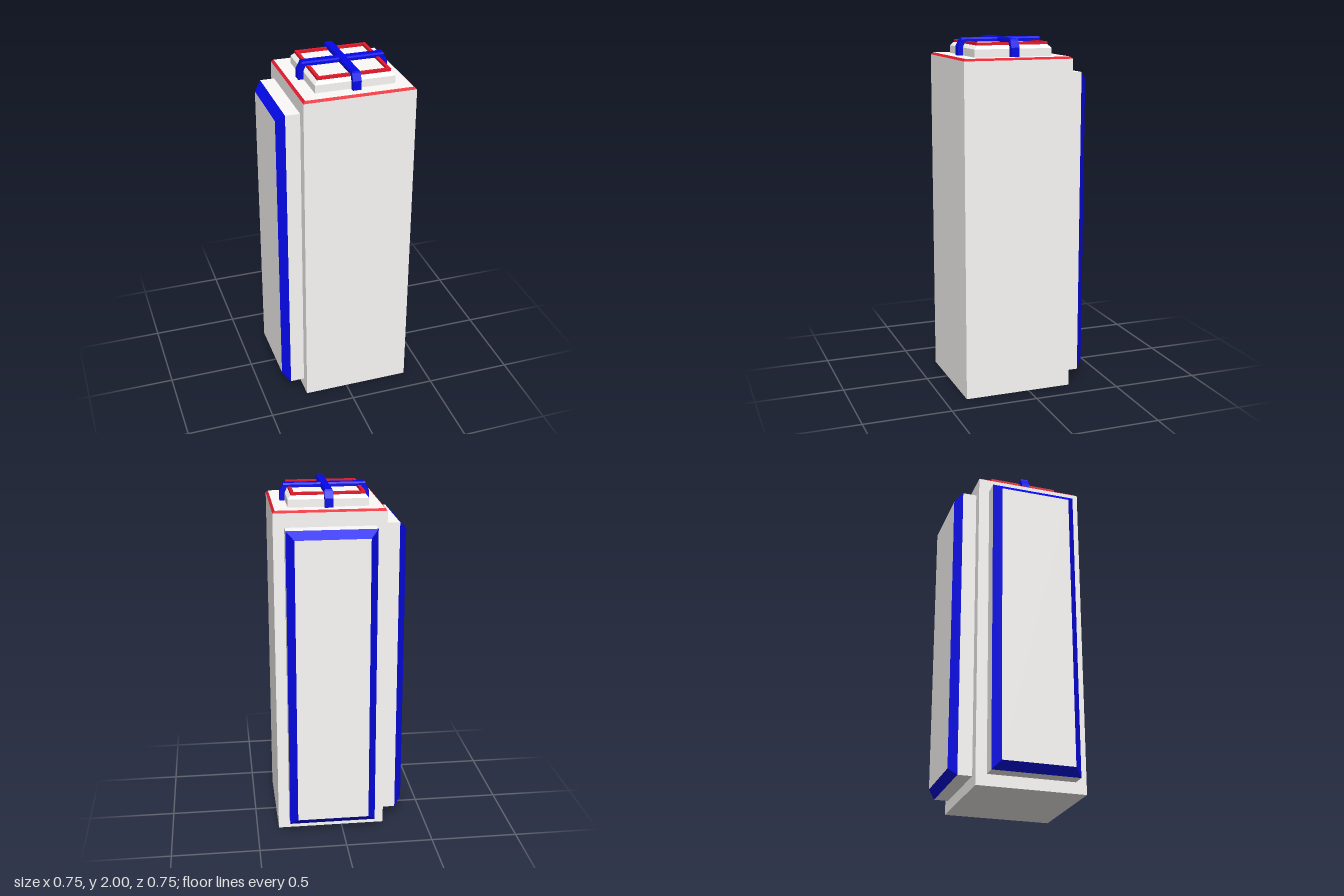
import * as THREE from 'three';

const white = new THREE.MeshStandardMaterial({ color: 0xfdfbf9, flatShading: true });
const blue = new THREE.MeshStandardMaterial({ color: 0x0508ea, flatShading: true });
const red = new THREE.MeshStandardMaterial({ color: 0xe61a2c, flatShading: true });

// Block from y0 to y1 whose top shrinks by inset on every side; the walls have their own colour.
function block(name, w, d, y0, y1, inset = 0, walls = white) {
  const geo = new THREE.BoxGeometry(w, y1 - y0, d);
  const p = geo.attributes.position;
  for (let i = 0; i < p.count; i++) {
    if (p.getY(i) > 0) {
      p.setX(i, p.getX(i) - Math.sign(p.getX(i)) * inset);
      p.setZ(i, p.getZ(i) - Math.sign(p.getZ(i)) * inset);
    }
  }
  geo.computeVertexNormals();
  const mesh = new THREE.Mesh(geo, [walls, walls, white, white, walls, walls]);
  mesh.name = name;
  mesh.position.y = (y0 + y1) / 2;
  return mesh;
}

// Square frame lying flat, standing on y0
function frame(name, outer, inner, y0, height) {
  const square = (Type, r) => new Type([[-r, -r], [r, -r], [r, r], [-r, r]].map(([x, y]) => new THREE.Vector2(x, y)));
  const shape = square(THREE.Shape, outer);
  shape.holes.push(square(THREE.Path, inner));
  const geo = new THREE.ExtrudeGeometry(shape, { depth: height, bevelEnabled: false });
  geo.rotateX(-Math.PI / 2);
  const mesh = new THREE.Mesh(geo, red);
  mesh.name = name;
  mesh.position.y = y0;
  return mesh;
}

// Bridge-shaped strap with clipped shoulders, slightly narrower along its top
function strap(name) {
  const half = [[0.2525, 1.9], [0.2525, 1.952], [0.233, 1.99], [0.23, 2.0]];
  const under = [[0.224, 1.945], [0.212, 1.975]];
  const mirror = ([x, y]) => [-x, y];
  const outline = [
    ...half, ...half.map(mirror).reverse(),
    [-0.224, 1.9], ...under.map(mirror), ...under.slice().reverse(), [0.224, 1.9],
  ];
  const shape = new THREE.Shape(outline.map(([x, y]) => new THREE.Vector2(x, y)));
  const width = 0.047;
  const geo = new THREE.ExtrudeGeometry(shape, { depth: width, bevelEnabled: false });
  geo.translate(0, 0, -width / 2);
  const p = geo.attributes.position;
  for (let i = 0; i < p.count; i++) {
    if (p.getY(i) > 1.995) p.setZ(i, p.getZ(i) * 0.83);
  }
  geo.computeVertexNormals();
  const mesh = new THREE.Mesh(geo, blue);
  mesh.name = name;
  return mesh;
}

// Raised wall panel with blue chamfered edges, on the -z wall
function panel(name) {
  const slab = new THREE.Group();
  slab.add(block('panelBase', 0.5, 1.746, 0.31, 0.393));
  slab.add(block('panelChamfer', 0.5, 1.746, 0.393, 0.436, 0.044, blue));
  slab.rotation.x = -Math.PI / 2;
  slab.position.y = 0.938;
  const pivot = new THREE.Group();
  pivot.name = name;
  pivot.add(slab);
  return pivot;
}

export function createModel() {
  const model = new THREE.Group();
  model.name = 'tower';
  model.position.set(0.062, 0, 0.062);

  // Main column with red rim
  model.add(block('column', 0.624, 0.624, 0, 1.89));
  model.add(block('topRim', 0.624, 0.624, 1.89, 1.902, 0.013, red));

  // Stepped cap and its red frame
  model.add(block('capBase', 0.446, 0.446, 1.902, 1.945));
  model.add(block('capChamfer', 0.446, 0.446, 1.945, 1.965, 0.018));
  model.add(frame('capFrame', 0.205, 0.187, 1.965, 0.015));

  // Crossed straps over the cap
  const crossStrap = strap('crossStrap');
  crossStrap.rotation.y = Math.PI / 2;
  model.add(strap('mainStrap'), crossStrap);

  // Panels on the back and right walls
  const sidePanel = panel('sidePanel');
  sidePanel.rotation.y = Math.PI / 2;
  model.add(panel('backPanel'), sidePanel);

  const root = new THREE.Group();
  root.add(model);
  return root;
}
